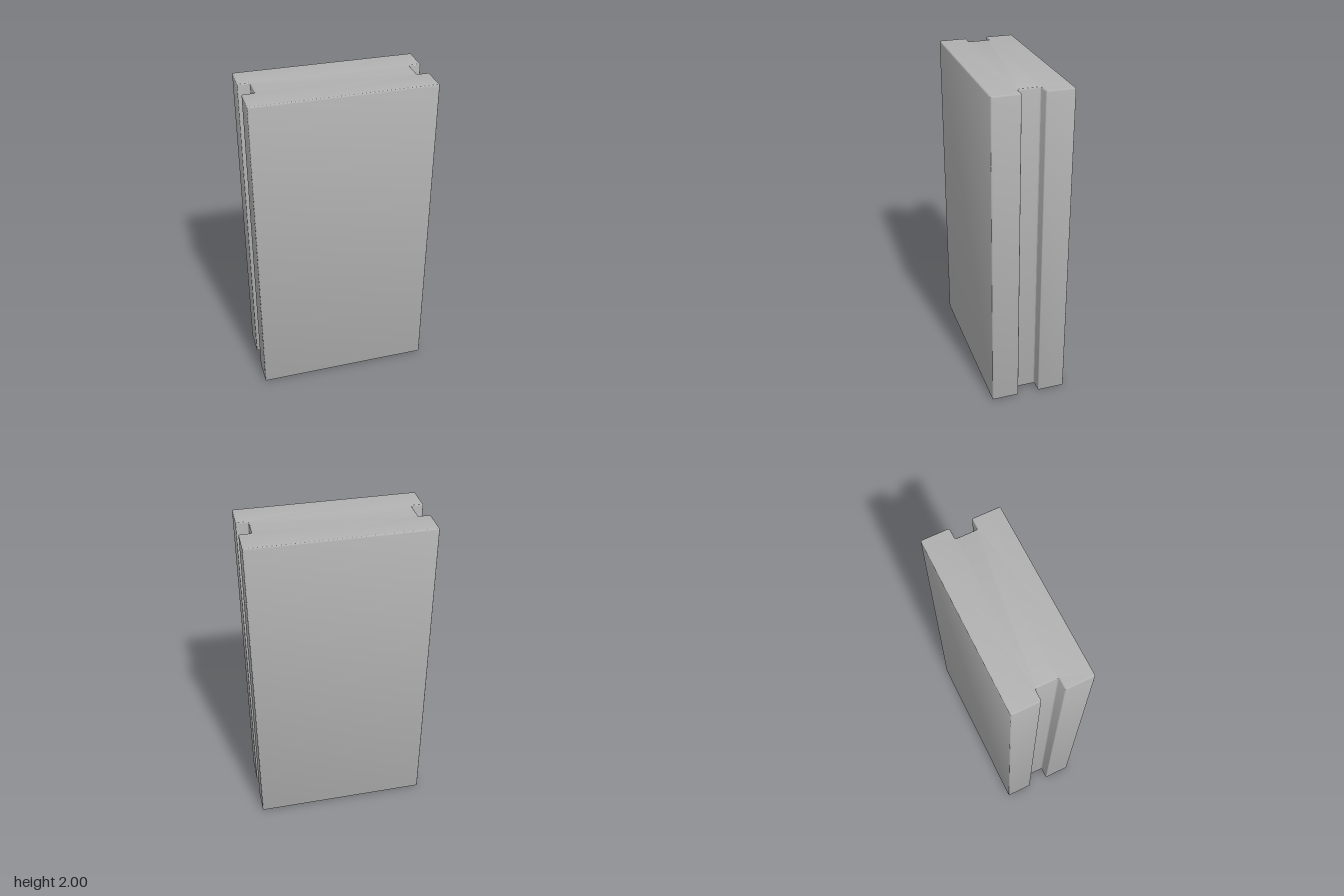
import * as THREE from 'three';
import { toCreasedNormals } from 'three/addons/utils/BufferGeometryUtils.js';

const HALF_W = 0.543, HALF_D = 0.237, HEIGHT = 2;
const GROOVE_X = 0.47, GROOVE_Z = 0.066;
const FILLET = 0.01, BEVEL = 0.007;

// Closed outline whose corners are all rounded by radius r
function roundedOutline(points, r) {
  const shape = new THREE.Shape();
  const n = points.length;
  points.forEach((p, i) => {
    const prev = points[(i + n - 1) % n], next = points[(i + 1) % n];
    const a = p.clone().add(prev.clone().sub(p).setLength(r));
    const b = p.clone().add(next.clone().sub(p).setLength(r));
    if (i === 0) shape.moveTo(a.x, a.y);
    else shape.lineTo(a.x, a.y);
    shape.quadraticCurveTo(p.x, p.y, b.x, b.y);
  });
  shape.closePath();
  return shape;
}

export function createModel() {
  const model = new THREE.Group();
  model.name = 'groovedPanel';
  const grey = new THREE.MeshStandardMaterial({ color: 0xb2b2b2 });
  grey.name = 'grey';

  // Plan of the slab: one side with its groove, then the same turned half round
  const side = [
    [HALF_W, -HALF_D], [HALF_W, -GROOVE_Z], [GROOVE_X, -GROOVE_Z],
    [GROOVE_X, GROOVE_Z], [HALF_W, GROOVE_Z], [HALF_W, HALF_D],
  ];
  const plan = [...side, ...side.map(([x, z]) => [-x, -z])]
    .map(([x, z]) => new THREE.Vector2(x, z));

  // Full-height slab with softly eased edges
  const geometry = new THREE.ExtrudeGeometry(roundedOutline(plan, FILLET), {
    depth: HEIGHT - 2 * BEVEL,
    curveSegments: 4,
    bevelEnabled: true,
    bevelThickness: BEVEL,
    bevelSize: BEVEL,
    bevelOffset: -BEVEL,
    bevelSegments: 3,
  });
  geometry.translate(0, 0, BEVEL);
  geometry.rotateX(-Math.PI / 2);

  const slab = new THREE.Mesh(toCreasedNormals(geometry, 0.6), grey);
  slab.name = 'slab';
  model.add(slab);
  return model;
}
